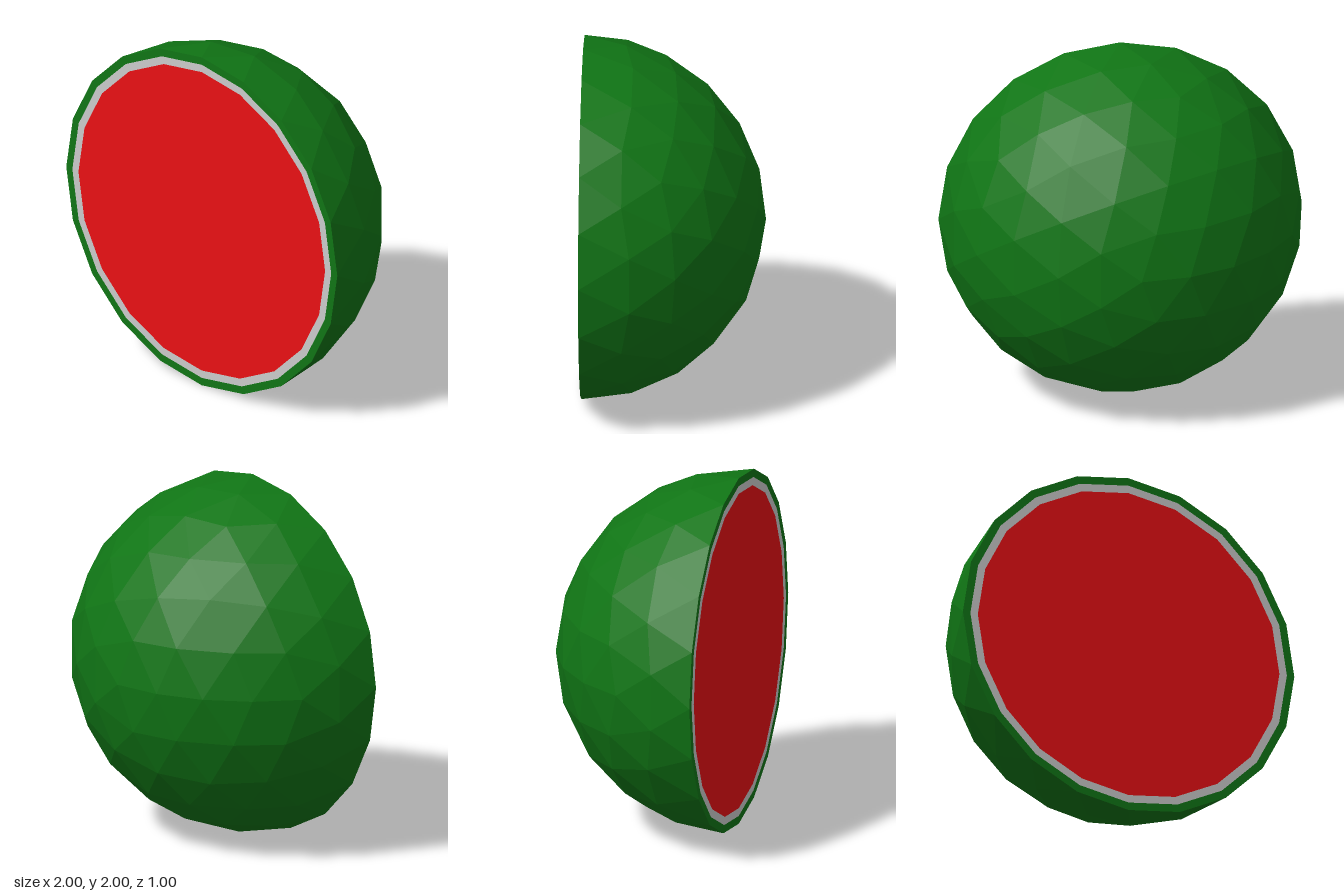
import * as THREE from 'three';

const CUT_Z = 0.5; // plane of the flat cut face
const SIDES = 20;

function material(color, flatShading = false) {
  return new THREE.MeshStandardMaterial({ color, flatShading });
}

// Half of a twice-subdivided icosahedron, pole towards -z, open at z = 0
function halfIcosphere() {
  const ringPoint = (turn, z) => {
    const a = Math.PI + turn * Math.PI * 0.4;
    const r = 2 / Math.sqrt(5);
    return new THREE.Vector3(r * Math.cos(a), r * Math.sin(a), z);
  };
  const h = 1 / Math.sqrt(5);
  const pole = new THREE.Vector3(0, 0, -1);
  const positions = [];

  const mid = (a, b) => a.clone().add(b).normalize();
  const split = (a, b, c, depth) => {
    if (depth === 0) {
      if (a.z + b.z + c.z < -1e-6) for (const v of [a, b, c]) positions.push(v.x, v.y, v.z);
      return;
    }
    const ab = mid(a, b), bc = mid(b, c), ca = mid(c, a);
    split(a, ab, ca, depth - 1);
    split(ab, b, bc, depth - 1);
    split(ca, bc, c, depth - 1);
    split(ab, bc, ca, depth - 1);
  };

  for (let k = 0; k < 5; k++) {
    const u0 = ringPoint(k, -h), u1 = ringPoint(k + 1, -h);
    const l0 = ringPoint(k + 0.5, h), l1 = ringPoint(k + 1.5, h);
    split(pole, u1, u0, 2);
    split(u0, u1, l0, 2);
    split(u1, l1, l0, 2);
  }

  const geometry = new THREE.BufferGeometry();
  geometry.setAttribute('position', new THREE.Float32BufferAttribute(positions, 3));
  geometry.computeVertexNormals();
  return geometry;
}

export function createModel() {
  const model = new THREE.Group();
  model.name = 'halfMelon';

  const add = (name, geometry, mat) => {
    const mesh = new THREE.Mesh(geometry, mat);
    mesh.name = name;
    mesh.position.set(0, 1, CUT_Z);
    model.add(mesh);
  };

  const green = 0x107515;
  // Faceted outer skin
  add('rindShell', halfIcosphere(), material(green, true));
  // Flat cut face: skin edge, pale rind, red flesh
  add('rindEdge', new THREE.RingGeometry(0.955, 1, SIDES), material(green));
  add('paleRind', new THREE.RingGeometry(0.91, 0.955, SIDES), material(0xcccccc));
  add('flesh', new THREE.CircleGeometry(0.91, SIDES), material(0xe91014));

  return model;
}
